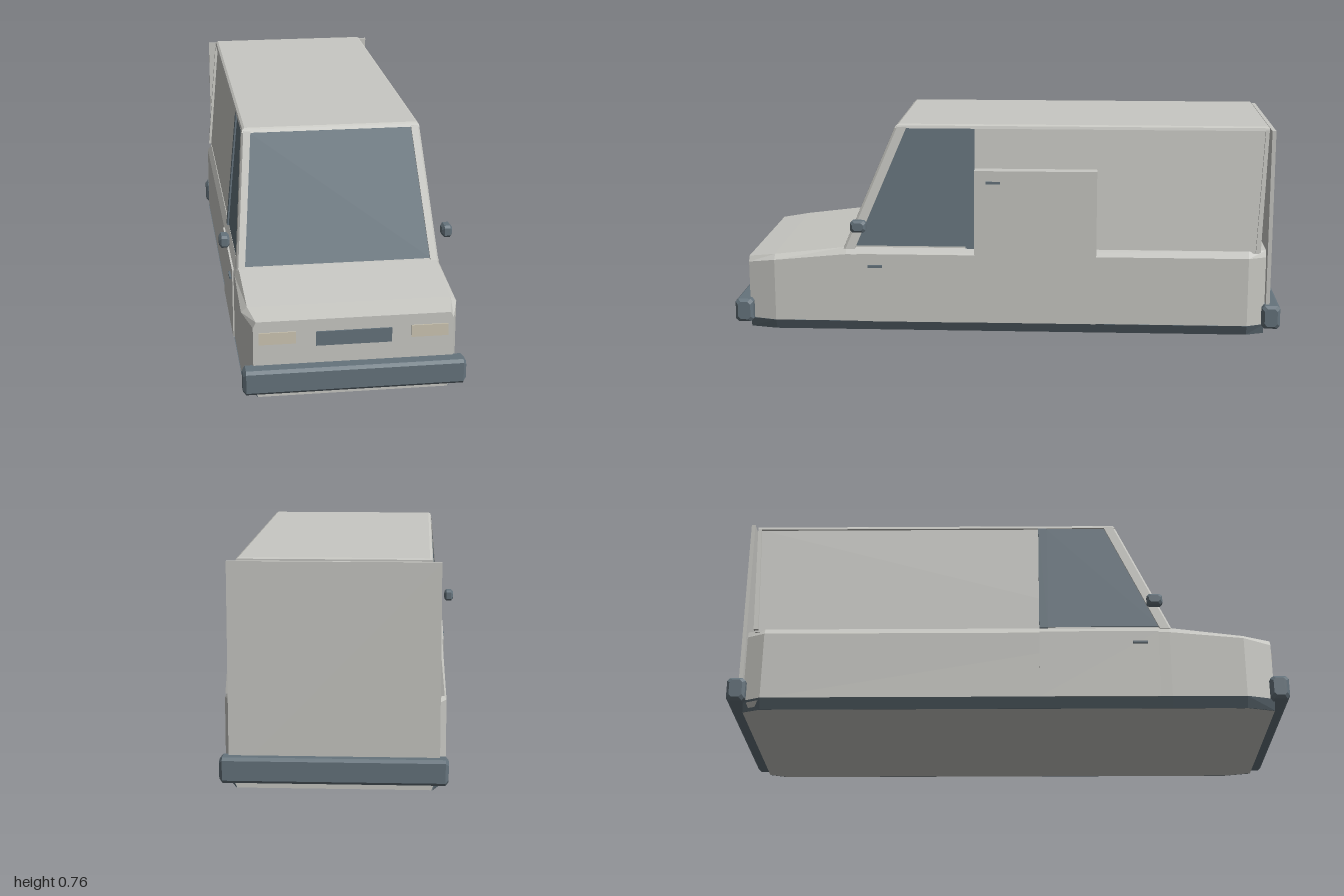
import * as THREE from 'three';

const mat = (name, color) => {
  const m = new THREE.MeshStandardMaterial({ color });
  m.name = name;
  return m;
};

// Flat-faced solid through matching convex rings of [x, y, z], capped at both ends.
function loft(rings) {
  const tris = [];
  const n = rings[0].length;
  for (let r = 0; r + 1 < rings.length; r++) {
    for (let i = 0; i < n; i++) {
      const j = (i + 1) % n, a = rings[r], b = rings[r + 1];
      tris.push([a[i], a[j], b[j]], [a[i], b[j], b[i]]);
    }
  }
  const first = rings[0], last = rings[rings.length - 1];
  for (let i = 1; i + 1 < n; i++) {
    tris.push([first[0], first[i + 1], first[i]], [last[0], last[i], last[i + 1]]);
  }
  // Turn every face outward, judged by the signed volume
  const o = new THREE.Vector3(...first[0]);
  const v = (p) => new THREE.Vector3(...p).sub(o);
  let volume = 0;
  for (const [a, b, c] of tris) volume += v(a).dot(v(b).cross(v(c)));
  const pos = tris.flatMap(([a, b, c]) => (volume > 0 ? [a, b, c] : [a, c, b])).flat();
  const g = new THREE.BufferGeometry();
  g.setAttribute('position', new THREE.Float32BufferAttribute(pos, 3));
  g.computeVertexNormals();
  return g;
}

// Box with chamfered edges
function bevelBox(w, h, d, b) {
  const ring = (x, s) => {
    const y = h / 2 - s, z = d / 2 - s;
    return [[x, -y, z - b], [x, -y + b, z], [x, y - b, z], [x, y, z - b],
      [x, y, -z + b], [x, y - b, -z], [x, -y + b, -z], [x, -y, -z + b]];
  };
  return loft([ring(-w / 2, b), ring(-w / 2 + b, 0), ring(w / 2 - b, 0), ring(w / 2, b)]);
}

// Sloping planes of the cabin
const sideX = (y) => 0.348 - (y - 0.312) * 0.093;
const frontZ = (y) => 0.587 - (y - 0.312) * 0.43;

export function createModel() {
  const van = new THREE.Group();
  van.name = 'van';
  const paint = mat('pale grey paint', 0xc8c8c3);
  const slate = mat('slate trim and glass', 0x65737c);
  const lamp = mat('cream lamp', 0xcdc6b2);

  const add = (name, geometry, material, x = 0, y = 0, z = 0) => {
    const m = new THREE.Mesh(geometry, material);
    m.name = name;
    m.position.set(x, y, z);
    van.add(m);
    return m;
  };
  const box = (name, material, w, h, d, x, y, z) =>
    add(name, new THREE.BoxGeometry(w, h, d), material, x, y, z);

  // Lower body: z, sill x, side x, shoulder y, top x, top y
  const sections = [
    [0.95, 0.32, 0.335, 0.25, 0.325, 0.27],
    [0.85, 0.345, 0.365, 0.265, 0.345, 0.283],
    [0.585, 0.345, 0.365, 0.29, 0.35, 0.314],
    [-0.88, 0.345, 0.365, 0.29, 0.35, 0.314],
    [-0.945, 0.32, 0.335, 0.29, 0.325, 0.314],
  ];
  add('lowerBody', loft(sections.map(([z, x0, x1, ys, xt, yt]) => [
    [x0, 0, z], [x1, 0.035, z], [x1, ys, z], [xt, yt, z],
    [-xt, yt, z], [-x1, ys, z], [-x1, 0.035, z], [-x0, 0, z],
  ])), paint);

  // Cabin core
  const cabinRing = (y, zBack) => {
    const x = sideX(y), z = frontZ(y) - 0.006;
    return [[x, y, z], [-x, y, z], [-x, y, zBack], [x, y, zBack]];
  };
  add('cabin', loft([cabinRing(0.305, -0.918), cabinRing(0.755, -0.938)]), paint);

  // Roof slab with sloped edges
  const roofRing = (y, x, z0, z1) => [[x, y, z0], [-x, y, z0], [-x, y, z1], [x, y, z1]];
  add('roof', loft([
    roofRing(0.75, 0.317, 0.404, -0.943),
    roofRing(0.76, 0.314, 0.398, -0.943),
    roofRing(0.765, 0.306, 0.39, -0.94),
  ]), paint);

  // Windscreen
  const screen = (off) => [[0.331, 0.318], [-0.331, 0.318], [-0.288, 0.748], [0.288, 0.748]]
    .map(([x, y]) => [x, y, frontZ(y) + off]);
  add('windscreen', loft([screen(-0.007), screen(0)]), slate);

  for (const s of [1, -1]) {
    // Plate lying on the sloping cabin side, outline in [z, y]
    const sidePlate = (name, outline, off, material) => add(name, loft([-0.004, off].map(
      (d) => outline.map(([z, y]) => [s * (sideX(y) + d), y, z]))), material);

    sidePlate('sideWindow', [[0.552, 0.32], [0.366, 0.75], [0.145, 0.75], [0.145, 0.32]], 0.003, slate);
    sidePlate('doorPillar', [[0.147, 0.314], [0.147, 0.752], [0.115, 0.752], [0.115, 0.314]], 0.009, slate);
    sidePlate('rearPillar', [[-0.905, 0.312], [-0.93, 0.752], [-0.943, 0.752], [-0.922, 0.312]], 0.01, paint);

    // Windscreen pillar
    const pillarRing = (y, xi) => {
      const xo = sideX(y) + 0.01, z = frontZ(y);
      return [[s * xi, y, z + 0.008], [s * (xo - 0.006), y, z + 0.006],
        [s * xo, y, z - 0.002], [s * xo, y, z - 0.036], [s * xi, y, z - 0.036]];
    };
    add('windscreenPillar', loft([pillarRing(0.308, 0.329), pillarRing(0.755, 0.286)]), paint);

    // Sill strip
    add('sill', loft(sections.map(([z, x0, x1]) => [
      [s * (x0 - 0.002), 0, z], [s * (x0 + 0.002), 0, z],
      [s * (x1 + 0.002), 0.038, z], [s * (x1 - 0.002), 0.038, z],
    ])), slate);

    // Front door, handle, mirror and headlamp
    box('frontDoor', paint, 0.01, 0.255, 0.43, s * 0.365, 0.165, 0.33);
    box('frontDoorHandle', slate, 0.008, 0.009, 0.053, s * 0.373, 0.247, 0.478);
    add('mirror', bevelBox(0.036, 0.043, 0.056, 0.008), slate, s * 0.395, 0.403, 0.532);
    box('headlamp', lamp, 0.124, 0.042, 0.008, s * 0.255, 0.21, 0.95);
  }

  // Sliding door on one side only
  box('slidingDoor', paint, 0.05, 0.567, 0.443, 0.3445, 0.3215, -0.108);
  box('slidingDoorHandle', slate, 0.007, 0.009, 0.053, 0.372, 0.562, 0.045);

  // Grille, rear door and bumpers
  box('grille', slate, 0.254, 0.05, 0.008, 0, 0.202, 0.951);
  box('rearDoor', paint, 0.69, 0.72, 0.014, 0, 0.395, -0.956);
  for (const [name, z] of [['frontBumper', 0.967], ['rearBumper', -0.967]]) {
    add(name, bevelBox(0.746, 0.086, 0.066, 0.01), slate, 0, 0.072, z);
  }
  return van;
}
